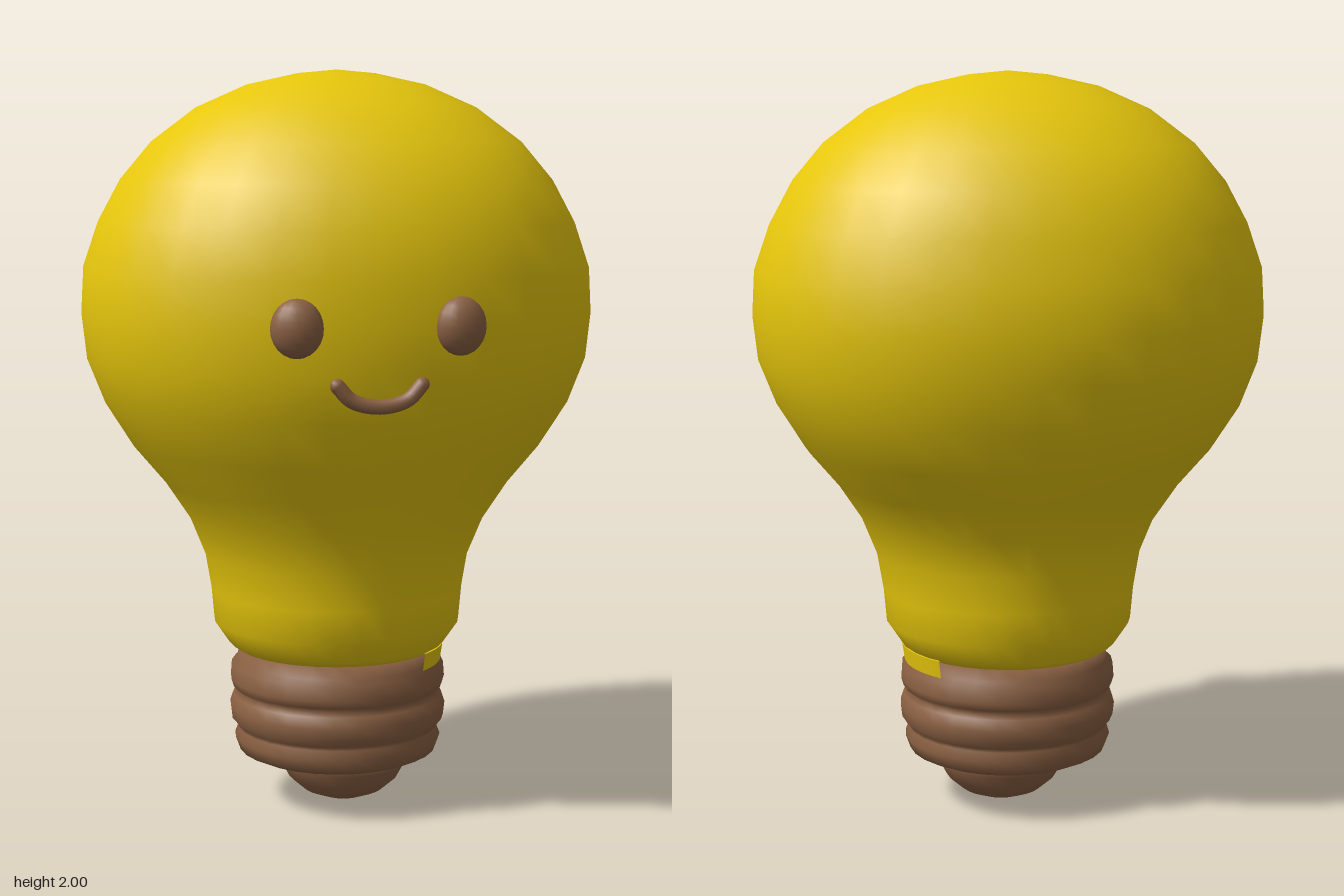
import * as THREE from 'three';
import { mergeVertices } from 'three/addons/utils/BufferGeometryUtils.js';

const yellow = new THREE.MeshStandardMaterial({ color: 0xe6c60c });
yellow.name = 'bulbYellow';
const brown = new THREE.MeshStandardMaterial({ color: 0x8b6143 });
brown.name = 'warmBrown';

// Closed surface through oval rings, bottom to top:
// [y, half width x, half depth front, half depth back, squareness (2 = ellipse)]
function ringBody(rows, segments) {
  const geo = new THREE.LatheGeometry(rows.map(([y, rx]) => new THREE.Vector2(rx, y)), segments);
  const pos = geo.attributes.position;
  for (let i = 0; i < pos.count; i++) {
    const [, rx, front = rx, back = front, power = 2] = rows[i % rows.length];
    if (rx === 0) continue;
    const c = pos.getX(i) / rx, s = pos.getZ(i) / rx;
    const k = (Math.abs(c) ** power + Math.abs(s) ** power) ** (-1 / power);
    pos.setX(i, c * k * rx);
    pos.setZ(i, s * k * (s > 0 ? front : back));
  }
  // Weld the seam so the shading stays smooth all round
  geo.deleteAttribute('uv');
  geo.deleteAttribute('normal');
  const welded = mergeVertices(geo, 1e-4);
  welded.computeVertexNormals();
  return welded;
}

export function createModel() {
  const model = new THREE.Group();
  model.name = 'smilingLightBulb';
  const add = (name, geometry, material, parent = model) => {
    const mesh = new THREE.Mesh(geometry, material);
    mesh.name = name;
    parent.add(mesh);
    return mesh;
  };

  // Glass: wide oval globe narrowing to a round neck with a tucked-in hem
  add('glassBulb', ringBody([
    [0.435, 0.0],
    [0.435, 0.275, 0.275, 0.275],
    [0.45, 0.297, 0.297, 0.295],
    [0.51, 0.337, 0.345, 0.333],
    [0.6, 0.345, 0.352, 0.338],
    [0.7, 0.362, 0.362, 0.344],
    [0.8, 0.402, 0.395, 0.368, 2.05],
    [0.9, 0.468, 0.437, 0.425, 2.1],
    [1.0, 0.552, 0.487, 0.497, 2.15],
    [1.12, 0.627, 0.54, 0.555, 2.2],
    [1.24, 0.674, 0.57, 0.582, 2.2],
    [1.36, 0.687, 0.578, 0.6, 2.2],
    [1.48, 0.68, 0.577, 0.588, 2.2],
    [1.6, 0.638, 0.557, 0.563, 2.2],
    [1.71, 0.578, 0.513, 0.524, 2.2],
    [1.81, 0.494, 0.445, 0.455, 2.2],
    [1.9, 0.375, 0.34, 0.35, 2.15],
    [1.96, 0.24, 0.225, 0.23, 2.1],
    [1.99, 0.105, 0.105, 0.105],
    [2.0, 0.0],
  ], 32), yellow);

  // Edge of glass that slips down over the screw base on the left side
  const lip = add('glassLip',
    new THREE.CylinderGeometry(0.292, 0.285, 0.048, 16, 1, false, Math.PI * 0.24, Math.PI * 0.5), yellow);
  lip.position.set(0.003, 0.421, 0);

  // Screw base: three rounded threads with grooves between
  const base = add('screwBase', ringBody([
    [0.13, 0.0], [0.13, 0.24], [0.145, 0.272], [0.18, 0.285], [0.205, 0.275],
    [0.215, 0.277], [0.235, 0.294], [0.27, 0.298], [0.3, 0.288], [0.312, 0.275],
    [0.325, 0.29], [0.345, 0.296], [0.385, 0.293], [0.4, 0.277], [0.44, 0.27], [0.44, 0.0],
  ], 28), brown);
  base.position.x = 0.003;

  // Rounded contact under the base
  const tip = add('contactTip', ringBody([
    [0.0, 0.0], [0.004, 0.06], [0.025, 0.112], [0.06, 0.152], [0.1, 0.174], [0.14, 0.182], [0.14, 0.0],
  ], 24), brown);
  tip.position.x = 0.02;

  // Face
  const face = new THREE.Group();
  face.name = 'face';
  model.add(face);
  for (const side of [1, -1]) {
    const eye = add(side > 0 ? 'leftEye' : 'rightEye', new THREE.SphereGeometry(1, 16, 12), brown, face);
    eye.scale.set(0.066, 0.074, 0.045);
    eye.position.set(side * 0.206, 1.362, 0.558);
    eye.rotation.y = side * 0.15;
  }

  // Smile: a tube with rounded ends
  const smile = new THREE.CatmullRomCurve3([
    [-0.107, 1.22, 0.563], [-0.07, 1.182, 0.564], [0, 1.166, 0.565],
    [0.07, 1.182, 0.564], [0.107, 1.22, 0.563],
  ].map(p => new THREE.Vector3(...p)));
  add('smile', new THREE.TubeGeometry(smile, 20, 0.019, 8), brown, face);
  for (const t of [0, 1]) {
    add('smileEnd', new THREE.SphereGeometry(0.019, 8, 6), brown, face).position.copy(smile.getPoint(t));
  }

  return model;
}
